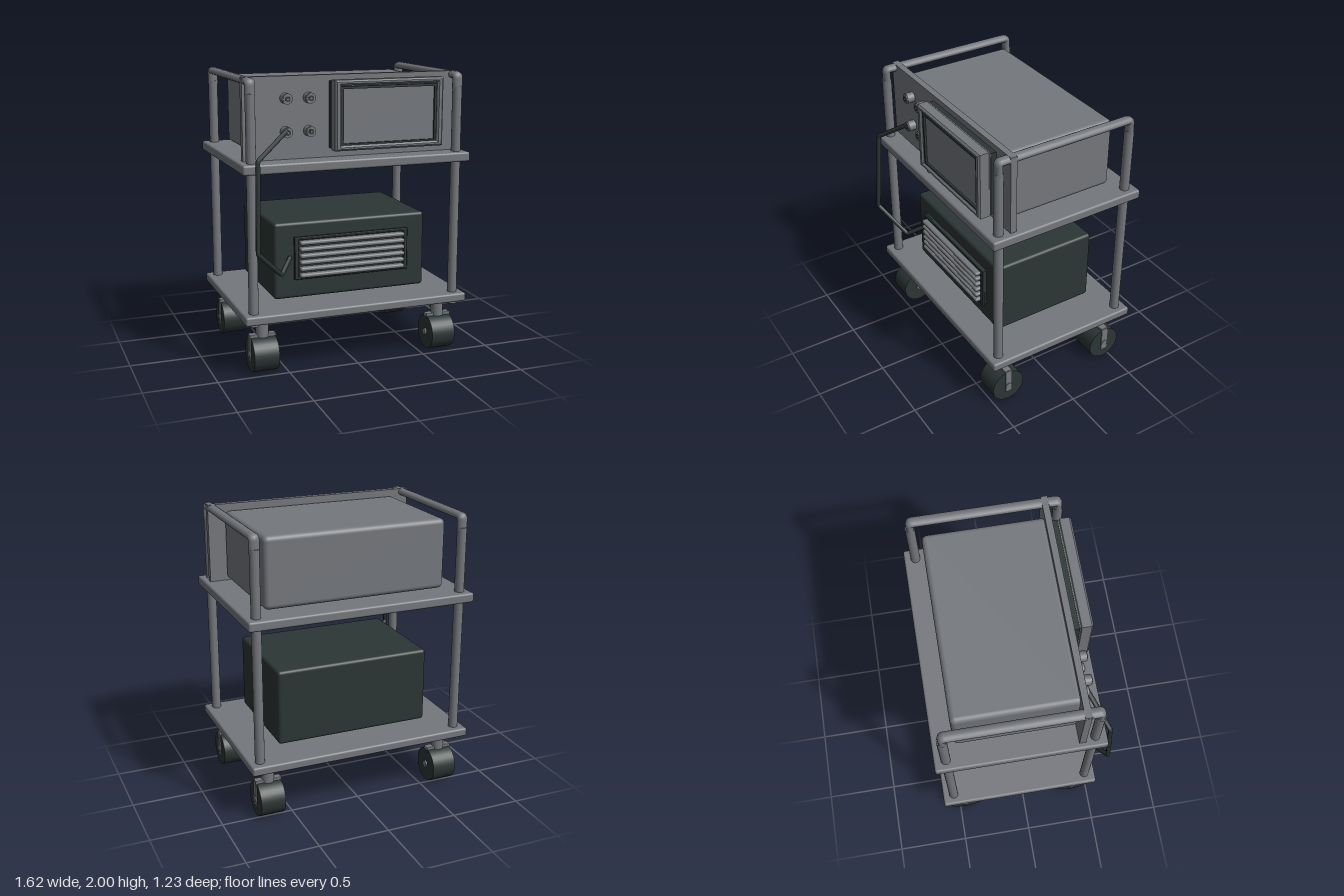
import * as THREE from 'three';
import { RoundedBoxGeometry } from 'three/addons/geometries/RoundedBoxGeometry.js';

export function createModel() {
  const model = new THREE.Group();
  model.name = 'equipmentCart';
  const grey = new THREE.MeshStandardMaterial({ color: 0x74777c });
  grey.name = 'metalGrey';
  const dark = new THREE.MeshStandardMaterial({ color: 0x2b3634 });
  dark.name = 'darkGreenGrey';

  const add = (name, geo, mat, x = 0, y = 0, z = 0, parent = model) => {
    const mesh = new THREE.Mesh(geo, mat);
    mesh.name = name;
    mesh.position.set(x, y, z);
    parent.add(mesh);
    return mesh;
  };
  // Box given by its limits on each axis, with an optional edge radius
  const box = (name, mat, [x0, x1], [y0, y1], [z0, z1], r = 0, parent = model) => {
    const s = [x1 - x0, y1 - y0, z1 - z0];
    const geo = r ? new RoundedBoxGeometry(...s, 3, r) : new THREE.BoxGeometry(...s);
    return add(name, geo, mat, (x0 + x1) / 2, (y0 + y1) / 2, (z0 + z1) / 2, parent);
  };
  const cylinder = (r, h, axis = 'y', sides = 24) => {
    const geo = new THREE.CylinderGeometry(r, r, h, sides);
    if (axis === 'x') geo.rotateZ(Math.PI / 2);
    if (axis === 'z') geo.rotateX(Math.PI / 2);
    return geo;
  };
  // Straight runs joined by tight bends
  const bentPath = (points, bend) => {
    const p = points.map((a) => new THREE.Vector3(...a));
    const path = new THREE.CurvePath();
    let from = p[0];
    for (let i = 1; i < p.length - 1; i++) {
      const a = p[i].clone().add(p[i - 1].clone().sub(p[i]).setLength(bend));
      const b = p[i].clone().add(p[i + 1].clone().sub(p[i]).setLength(bend));
      path.add(new THREE.LineCurve3(from, a));
      path.add(new THREE.QuadraticBezierCurve3(a, p[i], b));
      from = b;
    }
    path.add(new THREE.LineCurve3(from, p[p.length - 1]));
    return path;
  };
  const frame = (w, h, iw, ih, depth, bevel) => {
    const rect = (Type, a, b) => new Type([[-a, -b], [a, -b], [a, b], [-a, b]]
      .map(([x, y]) => new THREE.Vector2(x / 2, y / 2)));
    const shape = rect(THREE.Shape, w - 2 * bevel, h - 2 * bevel);
    shape.holes.push(rect(THREE.Path, iw + 2 * bevel, ih + 2 * bevel));
    return new THREE.ExtrudeGeometry(shape, {
      depth: depth - 2 * bevel, bevelEnabled: bevel > 0, bevelSize: bevel,
      bevelThickness: bevel, bevelSegments: 1,
    }).translate(0, 0, bevel);
  };

  // Shelves
  box('lowerShelf', grey, [-0.81, 0.81], [0.375, 0.437], [-0.612, 0.538], 0.015);
  box('upperShelf', grey, [-0.81, 0.81], [1.385, 1.452], [-0.612, 0.538], 0.015);

  // Posts and oval push handles
  for (const side of [-1, 1]) {
    for (const z of [0.46, -0.532]) {
      add('post', cylinder(0.033, 1.55), grey, side * 0.735, 1.125, z);
    }
    const path = bentPath([[0, 1.88, 0.46], [0, 1.974, 0.46], [0, 1.974, -0.53], [0, 1.88, -0.53]], 0.02);
    const geo = new THREE.TubeGeometry(path, 160, 0.026, 16);
    geo.scale(1.4, 1, 1);
    add('handle', geo, grey, side * 0.735);
  }

  // Casters: fork arm on the outer side only
  for (const side of [-1, 1]) {
    for (const z of [0.382, -0.453]) {
      const caster = new THREE.Group();
      caster.name = 'caster';
      caster.position.set(side * 0.657, 0, z);
      model.add(caster);
      add('wheel', cylinder(0.123, 0.175, 'x', 32), dark, 0, 0.125, 0, caster);
      add('axle', cylinder(0.025, 0.198, 'x', 16), grey, 0, 0.125, 0, caster);
      add('stem', cylinder(0.044, 0.14), grey, 0, 0.315, 0, caster);
      box('forkTop', grey, [-0.092, 0.092], [0.243, 0.267], [-0.026, 0.026], 0.005, caster);
      box('forkArm', grey, [0.08, 0.094].map((v) => v * side).sort((a, b) => a - b),
        [0.075, 0.26], [-0.025, 0.025], 0, caster);
    }
  }

  // Upper instrument
  box('instrumentBody', grey, [-0.65, 0.65], [1.464, 1.952], [-0.465, 0.36], 0.035);
  box('frontPanel', grey, [-0.77, 0.77], [1.45, 2], [0.347, 0.392]);

  // Display with recessed screen
  box('displayMount', dark, [-0.175, 0.605], [1.515, 1.96], [0.39, 0.432]);
  box('displayBack', grey, [-0.17, 0.6], [1.51, 1.966], [0.43, 0.485]);
  add('displayBezel', frame(0.78, 0.466, 0.69, 0.395, 0.088, 0.012), grey, 0.215, 1.738, 0.432);
  add('screenSurround', frame(0.69, 0.395, 0.657, 0.36, 0.022, 0), dark, 0.215, 1.732, 0.484);
  box('screen', grey, [-0.115, 0.545], [1.55, 1.914], [0.484, 0.491]);
  box('powerButton', grey, [-0.062, -0.032], [1.514, 1.522], [0.512, 0.525]);

  // Panel sockets
  for (const x of [-0.48, -0.32]) {
    for (const y of [1.855, 1.636]) {
      add('socketBase', cylinder(0.036, 0.055, 'z'), grey, x, y, 0.418);
      add('socketRim', cylinder(0.031, 0.01, 'z'), grey, x, y, 0.448);
      add('socketInsert', cylinder(0.019, 0.006, 'z', 12), dark, x, y, 0.453);
      add('socketPin', cylinder(0.007, 0.004, 'z', 12), grey, x, y, 0.457);
    }
  }

  // Lower unit with grille
  box('lowerUnit', dark, [-0.555, 0.555], [0.477, 1.01], [-0.42, 0.35], 0.022);
  add('grilleFrame', frame(0.835, 0.296, 0.775, 0.258, 0.02, 0.004), dark, -0.003, 0.763, 0.366);
  box('grillePlate', dark, [-0.415, 0.41], [0.618, 0.908], [0.345, 0.376]);
  for (let i = 0; i < 6; i++) {
    const y = 0.647 + i * 0.0456;
    box('grilleSlat', grey, [-0.387, 0.381], [y - 0.014, y + 0.014], [0.37, 0.421], 0.012);
  }

  // Connecting cable
  const cablePath = bentPath([
    [-0.49, 1.645, 0.445], [-0.718, 1.48, 0.562], [-0.737, 0.88, 0.6],
    [-0.54, 0.688, 0.47], [-0.45, 0.77, 0.37],
  ], 0.012);
  add('cable', new THREE.TubeGeometry(cablePath, 200, 0.016, 8), dark);
  for (const [x, y, z] of [[-0.49, 1.645, 0.445], [-0.45, 0.77, 0.37]]) {
    add('cableEnd', new THREE.SphereGeometry(0.016, 12, 8), dark, x, y, z);
  }
  return model;
}
